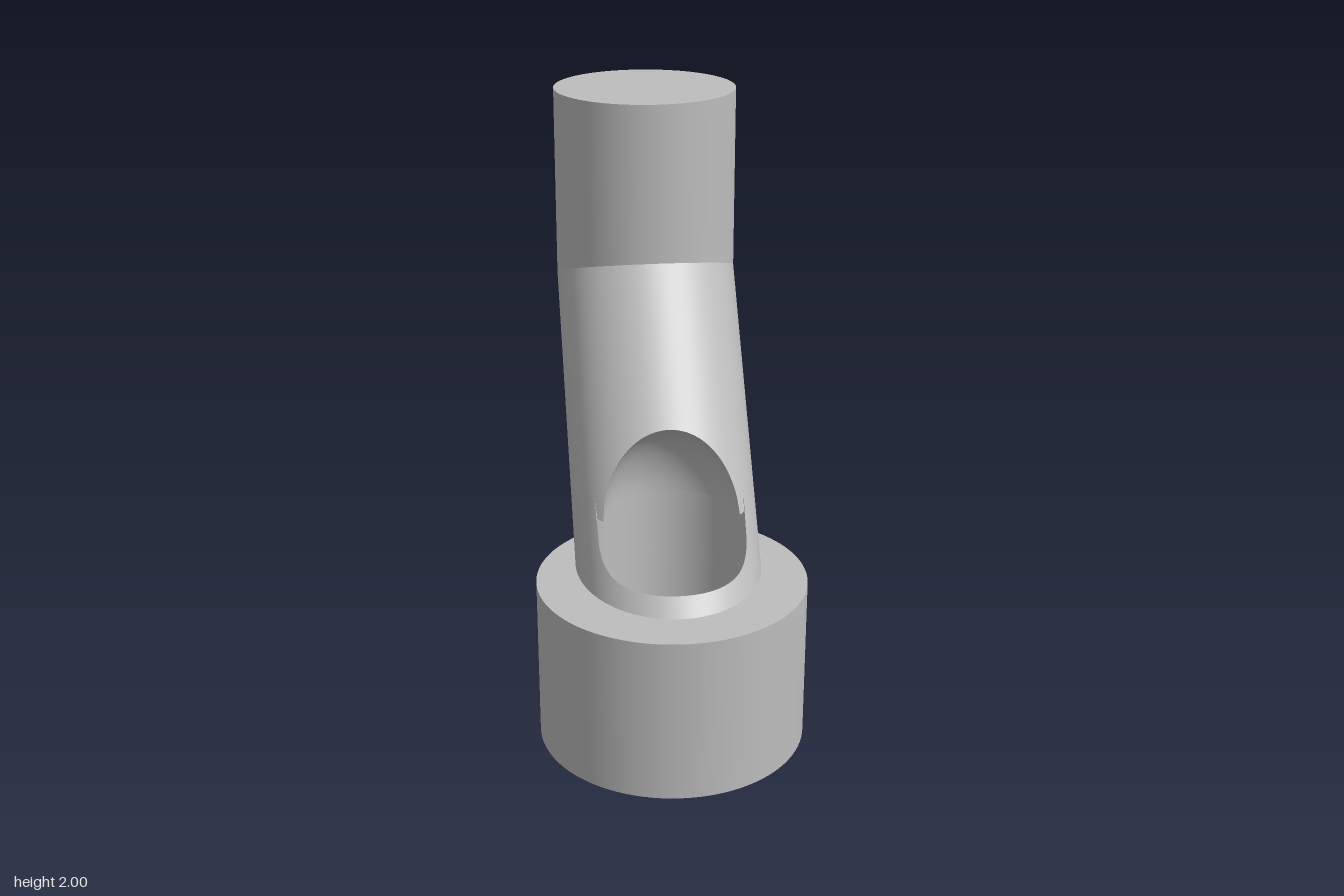
import * as THREE from 'three';
import { mergeGeometries } from 'three/addons/utils/BufferGeometryUtils.js';

// Local frame: x runs along the lean of the pipe, y is up.
const R = 0.305;                               // pipe radius
const POST_X = -0.471, KNEE_Y = 1.37;          // where the pipe bends
const LEAN = 0.785, TILT = Math.atan(LEAN);    // sideways run per unit of height
const LONG = R / Math.cos(TILT);               // long half-axis of a level pipe section
const BASE_X = 0.276, BASE_R = 0.44, BASE_H = 0.55;
const BORE_R = 0.24, LEDGE_Y = 0.76, DOME_R = 0.22, DOME_H = 0.296;
const COLS = 288;

const pipeX = (y) => POST_X + (KNEE_Y - y) * LEAN;
const inPipe = (p) => ((p.x - pipeX(p.y)) / LONG) ** 2 + (p.z / R) ** 2 <= 1;

function boreRadius(y) {
  if (y < LEDGE_Y) return BORE_R;
  const s = (y - LEDGE_Y) / DOME_H;
  return s < 1 ? DOME_R * Math.sqrt(1 - s * s) : 0;
}
const inBore = (p) => Math.hypot(p.x - BASE_X, p.z) < boreRadius(p.y);

// First and last t in 0..1 where the test holds, refined by bisection
function span(test, n = 300) {
  let first = -1, last = -1;
  for (let i = 0; i <= n; i++) {
    if (test(i / n)) {
      if (first < 0) first = i;
      last = i;
    }
  }
  if (first < 0) return null;
  const refine = (good, bad) => {
    for (let k = 0; k < 20; k++) {
      const m = (good + bad) / 2;
      if (test(m)) good = m; else bad = m;
    }
    return good;
  };
  return [
    first > 0 ? refine(first / n, (first - 1) / n) : 0,
    last < n ? refine(last / n, (last + 1) / n) : 1,
  ];
}

// Closed ring of columns; each column covers its own range of t, or is skipped
function sheet(point, range, rows, inward) {
  const pos = [], idx = [], ranges = [];
  for (let i = 0; i < COLS; i++) {
    const a = (i / COLS) * Math.PI * 2;
    const r = range(a);
    ranges.push(r);
    for (let j = 0; j <= rows; j++) {
      const t = r ? r[0] + (r[1] - r[0]) * (j / rows) : 0;
      const p = point(a, t);
      pos.push(p.x, p.y, p.z);
    }
  }
  for (let i = 0; i < COLS; i++) {
    const n = (i + 1) % COLS;
    if (!ranges[i] || !ranges[n]) continue;
    for (let j = 0; j < rows; j++) {
      const a = i * (rows + 1) + j, b = n * (rows + 1) + j;
      if (inward) idx.push(a, b, a + 1, b, b + 1, a + 1);
      else idx.push(a, a + 1, b, b, a + 1, b + 1);
    }
  }
  const g = new THREE.BufferGeometry();
  g.setAttribute('position', new THREE.Float32BufferAttribute(pos, 3));
  g.setIndex(idx);
  g.computeVertexNormals();
  return g;
}

// Turned part with a sharp edge at every profile corner
function turned(profile) {
  const pts = profile.map(([r, y]) => new THREE.Vector2(r, y));
  return mergeGeometries(pts.map((p, i) =>
    new THREE.LatheGeometry([p, pts[(i + 1) % pts.length]], 96)));
}

export function createModel() {
  const model = new THREE.Group();
  model.name = 'bentPipeOnCollar';
  const rig = new THREE.Group();
  rig.name = 'pipeAssembly';
  rig.rotation.y = -Math.PI / 4;
  model.add(rig);

  const grey = new THREE.MeshStandardMaterial({ color: 0xbdbdbd, side: THREE.DoubleSide });
  grey.name = 'grey';
  const add = (name, geometry, x = 0, y = 0) => {
    const mesh = new THREE.Mesh(geometry, grey);
    mesh.name = name;
    mesh.position.set(x, y, 0);
    rig.add(mesh);
  };

  // Collar with a through bore and an inner groove
  add('baseCollar', turned([
    [BORE_R, 0], [BASE_R, 0], [BASE_R, BASE_H], [BORE_R, BASE_H],
    [BORE_R, 0.15], [0.265, 0.15], [0.265, 0.1], [BORE_R, 0.1],
  ]), BASE_X);

  // Upright post and rounded knee
  add('upperPost', new THREE.CylinderGeometry(R, R, 2 - KNEE_Y, 96), POST_X, (2 + KNEE_Y) / 2);
  add('kneeJoint', new THREE.SphereGeometry(R, 96, 48), POST_X, KNEE_Y);

  // Leaning pipe wall, split below and above the side opening
  const LOW = 0.45;
  const wall = (a, t) => {
    const top = KNEE_Y + R * Math.cos(a) * Math.sin(TILT);
    const y = LOW + (top - LOW) * t;
    return new THREE.Vector3(pipeX(y) + LONG * Math.cos(a), y, R * Math.sin(a));
  };
  const opening = (a) => span((t) => inBore(wall(a, t))) || [0.35, 0.35];
  add('leaningPipeLower', sheet(wall, (a) => [0, opening(a)[0]], 3));
  add('leaningPipeUpper', sheet(wall, (a) => [opening(a)[1], 1], 4));

  // Bore surfaces, kept only where they lie inside the leaning pipe
  const around = (a, r, y) =>
    new THREE.Vector3(BASE_X + r * Math.cos(a), y, r * Math.sin(a));
  const cut = (name, path, rows) => add(name,
    sheet(path, (a) => span((t) => inPipe(path(a, t))), rows, true));
  cut('boreWall', (a, t) => around(a, BORE_R, BASE_H + (LEDGE_Y - BASE_H) * t), 4);
  cut('boreLedge', (a, t) => around(a, BORE_R + (DOME_R - BORE_R) * t, LEDGE_Y), 1);
  cut('boreDome', (a, t) => around(a, DOME_R * Math.cos(t * Math.PI / 2),
    LEDGE_Y + DOME_H * Math.sin(t * Math.PI / 2)), 16);

  return model;
}
